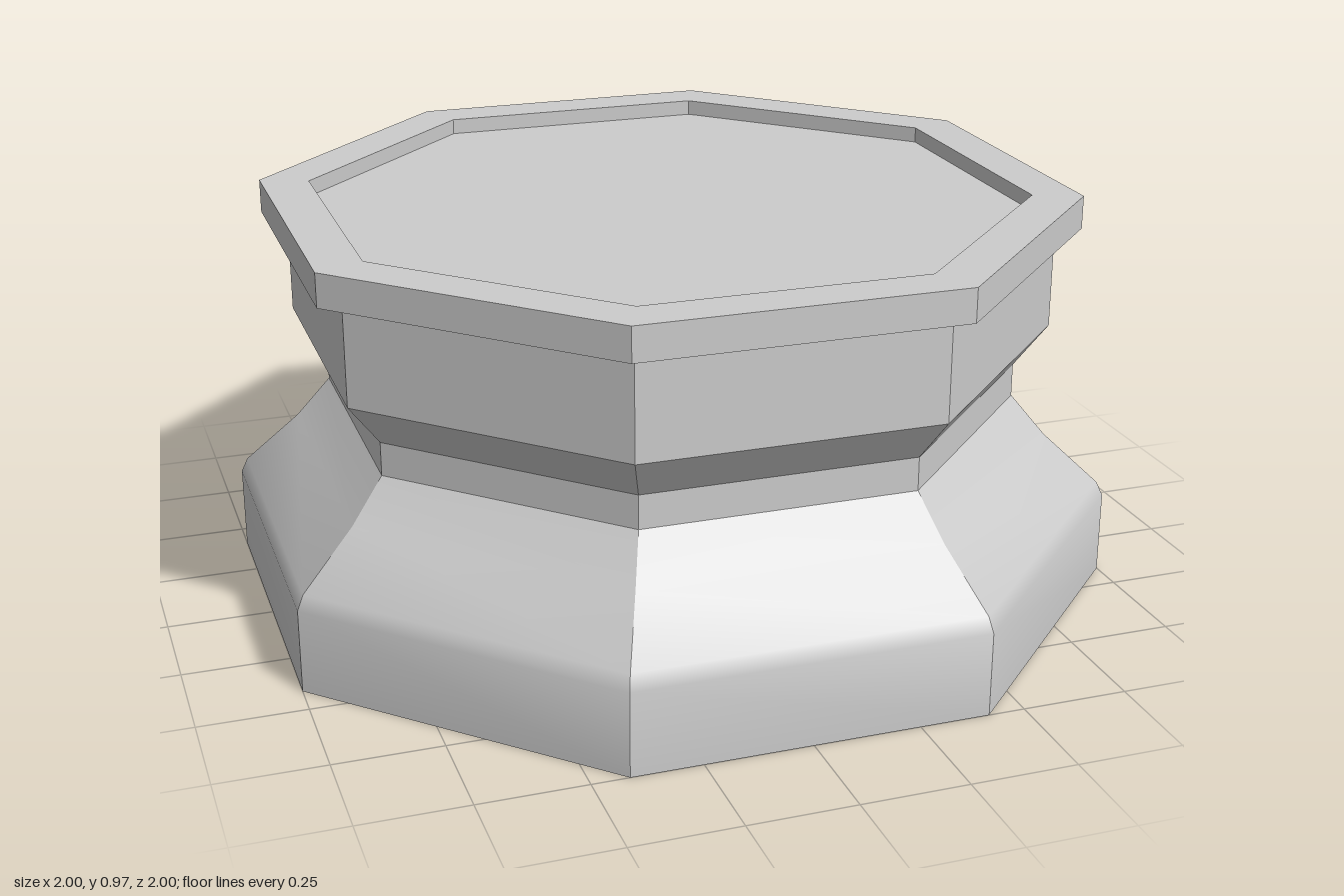
import * as THREE from 'three';
import { toCreasedNormals } from 'three/addons/utils/BufferGeometryUtils.js';

const SIDES = 8;
const CREASE = THREE.MathUtils.degToRad(28);
const material = new THREE.MeshStandardMaterial({ color: 0xcccccc });

// Octagonal turned part; profile is [distance from axis to flat face, height]
function octagonalPart(name, profile) {
  const toCorner = 1 / Math.cos(Math.PI / SIDES);
  const points = profile.map(([r, y]) => new THREE.Vector2(r * toCorner, y));
  const lathe = new THREE.LatheGeometry(points, SIDES, Math.PI / SIDES);
  const mesh = new THREE.Mesh(toCreasedNormals(lathe, CREASE), material);
  mesh.name = name;
  return mesh;
}

export function createModel() {
  const group = new THREE.Group();
  group.name = 'octagonalPedestal';
  group.add(
    // Flared foot with a closed underside and a softened shoulder
    octagonalPart('flaredBase', [
      [0, 0], [1, 0], [1, 0.2], [0.985, 0.235], [0.858, 0.36], [0.78, 0.46],
    ]),
    // Narrow waist
    octagonalPart('neck', [[0.78, 0.46], [0.78, 0.54]]),
    // Body widening out to the rim
    octagonalPart('upperBody', [[0.78, 0.54], [0.854, 0.643], [0.854, 0.888]]),
    // Overhanging rim with its inner lip
    octagonalPart('rim', [
      [0.854, 0.888], [0.912, 0.888], [0.912, 0.968], [0.8, 0.968], [0.8, 0.93],
    ]),
    // Recessed top
    octagonalPart('topPanel', [[0.8, 0.93], [0, 0.93]]),
  );
  return group;
}
